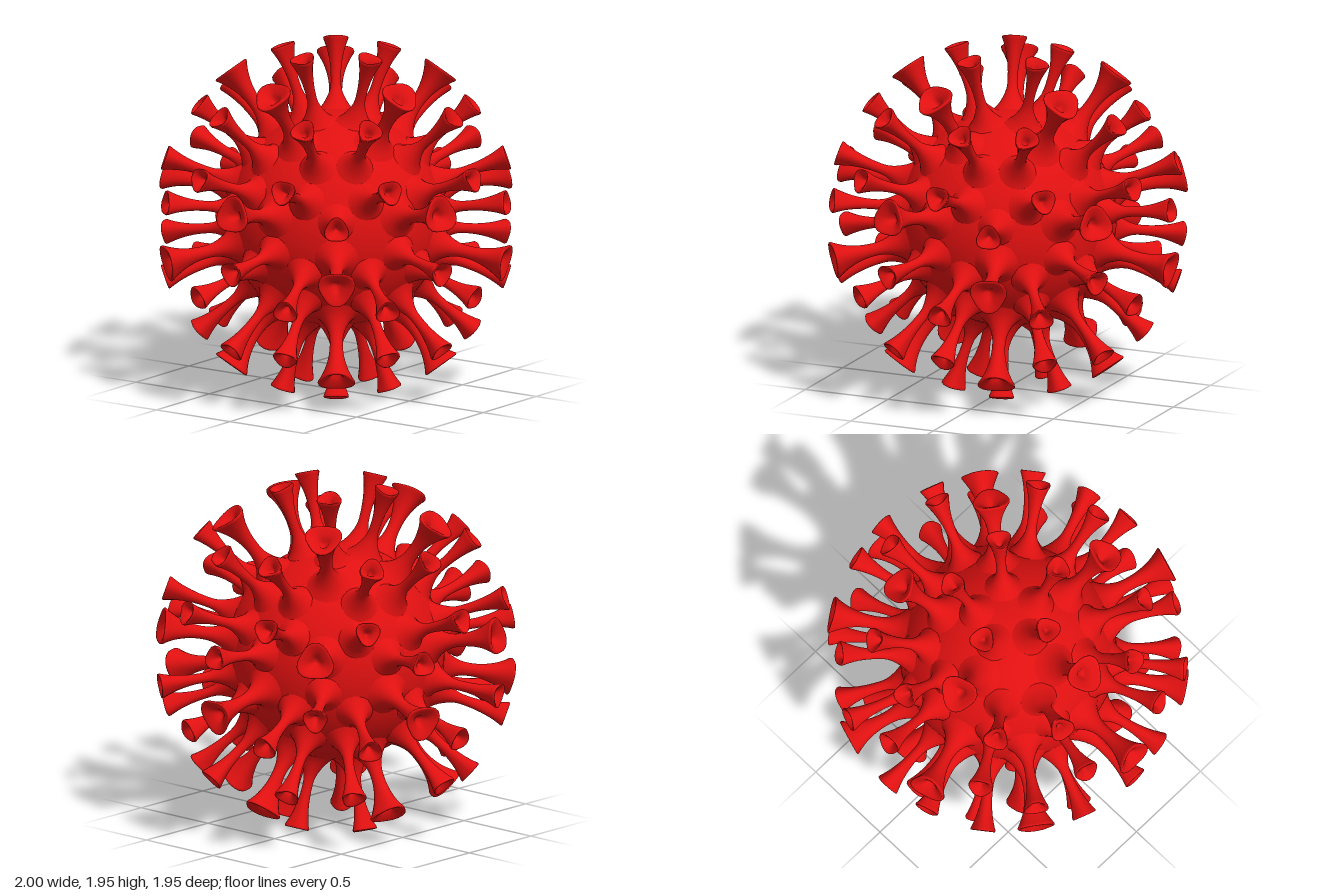
import * as THREE from 'three';
import { mergeVertices } from 'three/addons/utils/BufferGeometryUtils.js';

const CORE_RADIUS = 0.6;
const CENTRE_Y = 0.977;

// Trumpet-shaped spike along +y: flared root, thin neck, rounded-triangle mouth with a pit.
// Heights are measured from the core centre.
function spikeGeometry(neck, rim, root) {
  const profile = new THREE.SplineCurve([
    [root, 0.55], [root * 0.62, 0.6], [root * 0.4, 0.645], [neck * 1.15, 0.71],
    [neck, 0.78], [neck + (rim - neck) * 0.12, 0.85], [neck + (rim - neck) * 0.4, 0.915],
    [neck + (rim - neck) * 0.78, 0.968], [rim, 0.992], [rim * 0.95, 1.002],
    [rim * 0.72, 0.993], [rim * 0.4, 0.972], [rim * 0.2, 0.945], [0, 0.935],
  ].map(([r, h]) => new THREE.Vector2(r, h)));
  const points = profile.getPoints(30);
  points[30].x = 0;
  let geo = new THREE.LatheGeometry(points, 22);
  const pos = geo.attributes.position;
  for (let i = 0; i < pos.count; i++) {
    const x = pos.getX(i), y = pos.getY(i), z = pos.getZ(i);
    // Corner of the triangular mouth points along +x
    const amount = 0.1 * THREE.MathUtils.smoothstep(y, 0.75, 0.97);
    const k = 1 + amount * Math.cos(3 * Math.atan2(z, x));
    pos.setXYZ(i, x * k, y - CORE_RADIUS, z * k);
  }
  geo.deleteAttribute('uv');
  geo.deleteAttribute('normal');
  geo = mergeVertices(geo, 1e-5);
  geo.computeVertexNormals();
  return geo;
}

// The 20 faces of an icosahedron standing on a corner
function icosahedronFaces() {
  const top = new THREE.Vector3(0, 1, 0), bottom = new THREE.Vector3(0, -1, 0);
  const ring = (y, start) => Array.from({ length: 5 }, (_, k) => {
    const a = start + k * Math.PI * 0.4, r = 2 / Math.sqrt(5);
    return new THREE.Vector3(r * Math.cos(a), y, r * Math.sin(a));
  });
  const up = ring(1 / Math.sqrt(5), 0), low = ring(-1 / Math.sqrt(5), Math.PI / 5);
  const faces = [];
  for (let k = 0; k < 5; k++) {
    const n = (k + 1) % 5;
    faces.push([top, up[k], up[n]], [up[k], up[n], low[k]],
      [low[k], low[n], up[n]], [bottom, low[k], low[n]]);
  }
  return faces;
}

export function createModel() {
  const model = new THREE.Group();
  model.name = 'spikedSphere';
  const red = new THREE.MeshStandardMaterial({ color: 0xe01010 });

  const core = new THREE.Mesh(new THREE.SphereGeometry(CORE_RADIUS, 64, 40), red);
  core.name = 'core';
  model.add(core);

  const largeGeo = spikeGeometry(0.036, 0.1, 0.17);
  const smallGeo = spikeGeometry(0.028, 0.067, 0.15);

  // Stands a spike on a triangular patch, its mouth turned towards corner a
  function addSpike(a, b, c, geo, name) {
    const centre = a.clone().add(b).add(c).normalize();
    const axis = b.clone().sub(a).cross(c.clone().sub(a)).normalize();
    if (axis.dot(centre) < 0) axis.negate();
    const side = a.clone().sub(centre);
    side.addScaledVector(axis, -side.dot(axis)).normalize();
    const spike = new THREE.Mesh(geo, red);
    spike.name = name;
    spike.quaternion.setFromRotationMatrix(
      new THREE.Matrix4().makeBasis(side, axis, side.clone().cross(axis)));
    spike.position.copy(centre).multiplyScalar(CORE_RADIUS);
    model.add(spike);
  }

  // Each face splits in four: a large spike in the middle, a small one at each corner
  for (const [a, b, c] of icosahedronFaces()) {
    const mid = (p, q) => p.clone().add(q).normalize();
    const ab = mid(a, b), bc = mid(b, c), ca = mid(c, a);
    addSpike(ab, bc, ca, largeGeo, 'largeSpike');
    addSpike(a, ab, ca, smallGeo, 'smallSpike');
    addSpike(b, bc, ab, smallGeo, 'smallSpike');
    addSpike(c, ca, bc, smallGeo, 'smallSpike');
  }

  model.position.y = CENTRE_Y;
  const group = new THREE.Group();
  group.name = 'model';
  group.add(model);
  return group;
}
